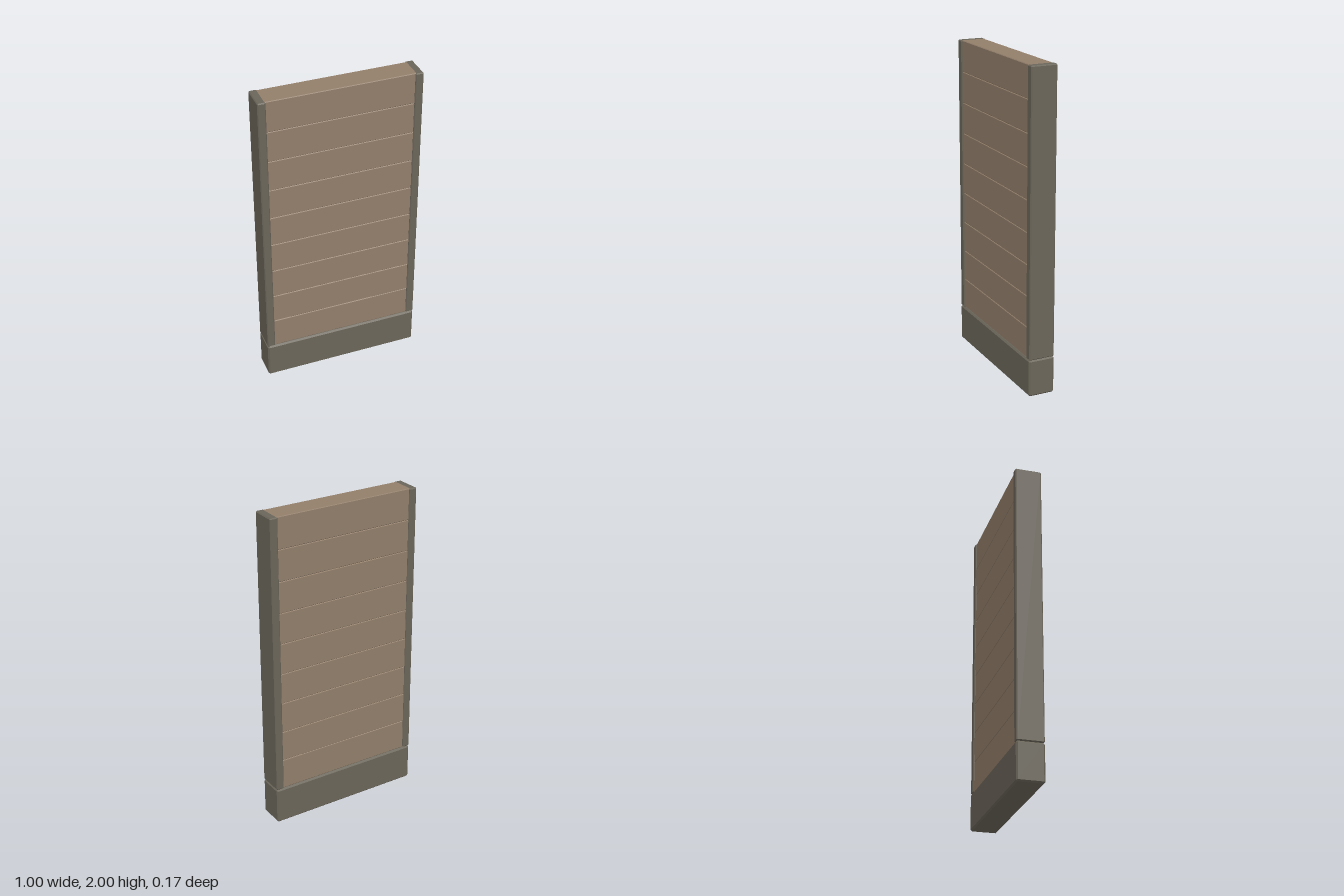
import * as THREE from 'three';
import { ConvexGeometry } from 'three/addons/geometries/ConvexGeometry.js';

// Box with every edge chamfered by c
function chamferBox(w, h, d, c) {
  const points = [];
  for (const sx of [-1, 1]) for (const sy of [-1, 1]) for (const sz of [-1, 1]) {
    for (let axis = 0; axis < 3; axis++) {
      const inset = [c, c, c];
      inset[axis] = 0;
      points.push(new THREE.Vector3(
        sx * (w / 2 - inset[0]), sy * (h / 2 - inset[1]), sz * (d / 2 - inset[2])));
    }
  }
  return new ConvexGeometry(points);
}

export function createModel() {
  const group = new THREE.Group();
  const stone = new THREE.MeshStandardMaterial({ color: 0x6b665a });
  stone.name = 'greyFrame';
  const wood = new THREE.MeshStandardMaterial({ color: 0x927e6a });
  wood.name = 'brownWood';

  const add = (name, geometry, material, x, y) => {
    const mesh = new THREE.Mesh(geometry, material);
    mesh.name = name;
    mesh.position.set(x, y, 0);
    group.add(mesh);
  };

  const baseTop = 0.235, top = 2;
  const wallHeight = top - baseTop, wallMiddle = (top + baseTop) / 2;

  // Plinth
  add('base', chamferBox(1, baseTop, 0.168, 0.01), stone, 0, baseTop / 2);

  // Side posts
  const post = chamferBox(0.05, wallHeight, 0.164, 0.006);
  add('leftPost', post, stone, 0.475, wallMiddle);
  add('rightPost', post, stone, -0.475, wallMiddle);

  // Stacked planks, their ends tucked into the posts
  const count = 9, pitch = wallHeight / count;
  const plank = chamferBox(0.92, pitch, 0.148, 0.004);
  for (let i = 0; i < count; i++) {
    add('plank' + (i + 1), plank, wood, 0, baseTop + (i + 0.5) * pitch);
  }
  return group;
}
